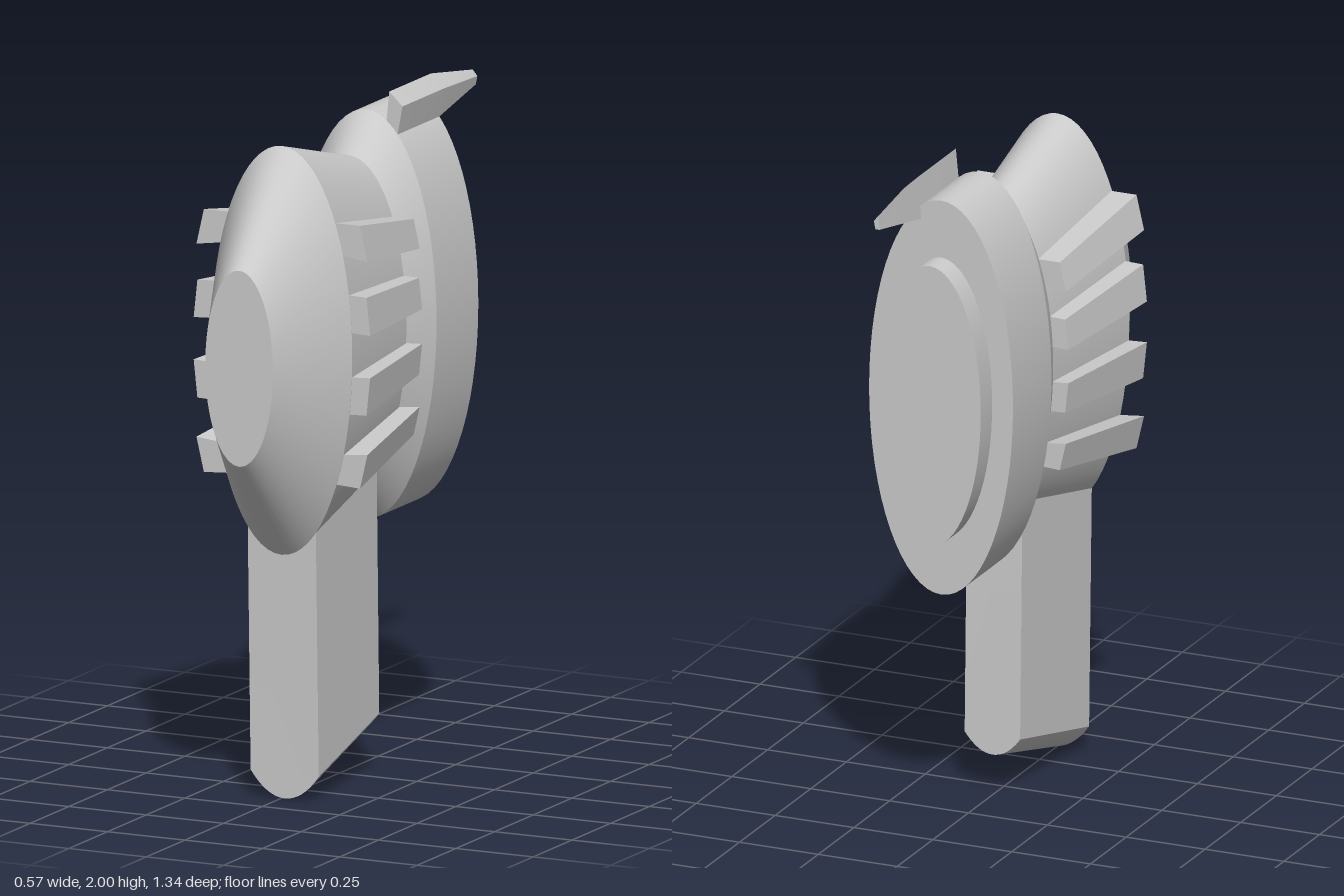
import * as THREE from 'three';
import { toCreasedNormals } from 'three/addons/utils/BufferGeometryUtils.js';

const CX = 0.01, CY = 1.335; // axis of the oval body
const FLAT = 0.377; // width of the oval relative to its height
const BACK = 0.81; // size of the barrel's rear rim relative to its front rim
const material = new THREE.MeshStandardMaterial({ color: 0xcccccc });

function add(group, name, geometry) {
  const mesh = new THREE.Mesh(geometry, material);
  mesh.name = name;
  group.add(mesh);
}

// Oval frustum between two z positions, with capped ends
function oval(zFront, rFront, zBack, rBack) {
  return new THREE.CylinderGeometry(rFront, rBack, zFront - zBack, 64)
    .rotateX(Math.PI / 2)
    .scale(FLAT, 1, 1)
    .translate(CX, CY, (zFront + zBack) / 2);
}

// Capped loft through convex sections, front to back, each counter-clockwise from the front
function loft(sections) {
  const pos = [];
  const tri = (...corners) => corners.forEach((p) => pos.push(...p));
  const n = sections[0].length, last = sections.length - 1;
  for (let s = 0; s < last; s++) {
    const a = sections[s], b = sections[s + 1];
    for (let i = 0; i < n; i++) {
      const j = (i + 1) % n;
      tri(a[i], b[i], b[j]);
      tri(a[i], b[j], a[j]);
    }
  }
  for (let i = 1; i < n - 1; i++) {
    tri(sections[0][0], sections[0][i], sections[0][i + 1]);
    tri(sections[last][0], sections[last][i + 1], sections[last][i]);
  }
  const g = new THREE.BufferGeometry();
  g.setAttribute('position', new THREE.Float32BufferAttribute(pos, 3));
  return toCreasedNormals(g, 0.4);
}

// Handle outline: oval arc at the bottom, straight sides up into the body
function handleSection(half, radius, yBottom, zBottom, yTop, zTop) {
  const points = [], steps = 16;
  for (let i = 0; i <= steps; i++) {
    const x = half * (2 * i / steps - 1);
    const rise = radius * (1 - Math.sqrt(1 - (x / (radius * FLAT)) ** 2));
    points.push([CX + x, yBottom + rise, zBottom]);
  }
  points.push([CX + half, yTop, zTop], [CX - half, yTop, zTop]);
  return points;
}

export function createModel() {
  const model = new THREE.Group();
  model.name = 'handheldDevice';

  // Oval body
  add(model, 'nose', oval(0.67, 0.29, 0.395, 0.605));
  add(model, 'barrel', oval(0.395, 0.605, -0.042, 0.49));
  add(model, 'rearFlare', oval(-0.042, 0.49, -0.15, 0.605));
  add(model, 'rearDrum', oval(-0.15, 0.605, -0.42, 0.605));
  add(model, 'rearDisc', oval(-0.42, 0.43, -0.5, 0.43));

  // Tapered handle with a slanted, rounded foot
  add(model, 'handle', loft([
    handleSection(0.11, 0.605, 0.005, 0.375, 0.86, 0.395),
    handleSection(0.088, 0.49, 0.12, -0.06, 0.98, -0.042),
  ]));

  // Side ribs: [inner low, outer low, outer high, inner high], relative to the axis
  const ribs = [
    [[0.16, 0.305], [0.276, 0.288], [0.252, 0.393], [0.14, 0.393]],
    [[0.19, 0.075], [0.285, 0.07], [0.273, 0.182], [0.19, 0.185]],
    [[0.19, -0.17], [0.273, -0.167], [0.285, -0.055], [0.19, -0.06]],
    [[0.14, -0.378], [0.252, -0.385], [0.276, -0.283], [0.16, -0.295]],
  ];
  for (const side of [1, -1]) {
    const group = new THREE.Group();
    group.name = side > 0 ? 'leftRibs' : 'rightRibs';
    for (const rib of ribs) {
      const outline = side > 0 ? rib : [...rib].reverse();
      const section = (scale, z) =>
        outline.map(([x, y]) => [CX + side * x * scale, CY + y * scale, z]);
      add(group, 'rib', loft([section(1, 0.393), section(BACK + 0.01, -0.045)]));
    }
    model.add(group);
  }

  // Antenna: straight blade, then tapering to a blunt tip
  const blade = [[0.073, 1.875], [0.112, 1.875], [0.128, 1.96], [0.085, 2.0]];
  const tip = [[0.092, 1.92], [0.105, 1.92], [0.11, 1.945], [0.095, 1.963]];
  const at = (outline, z) => outline.map(([x, y]) => [x, y, z]);
  add(model, 'antenna', loft([at(blade, -0.15), at(blade, -0.42), at(tip, -0.67)]));

  return model;
}
